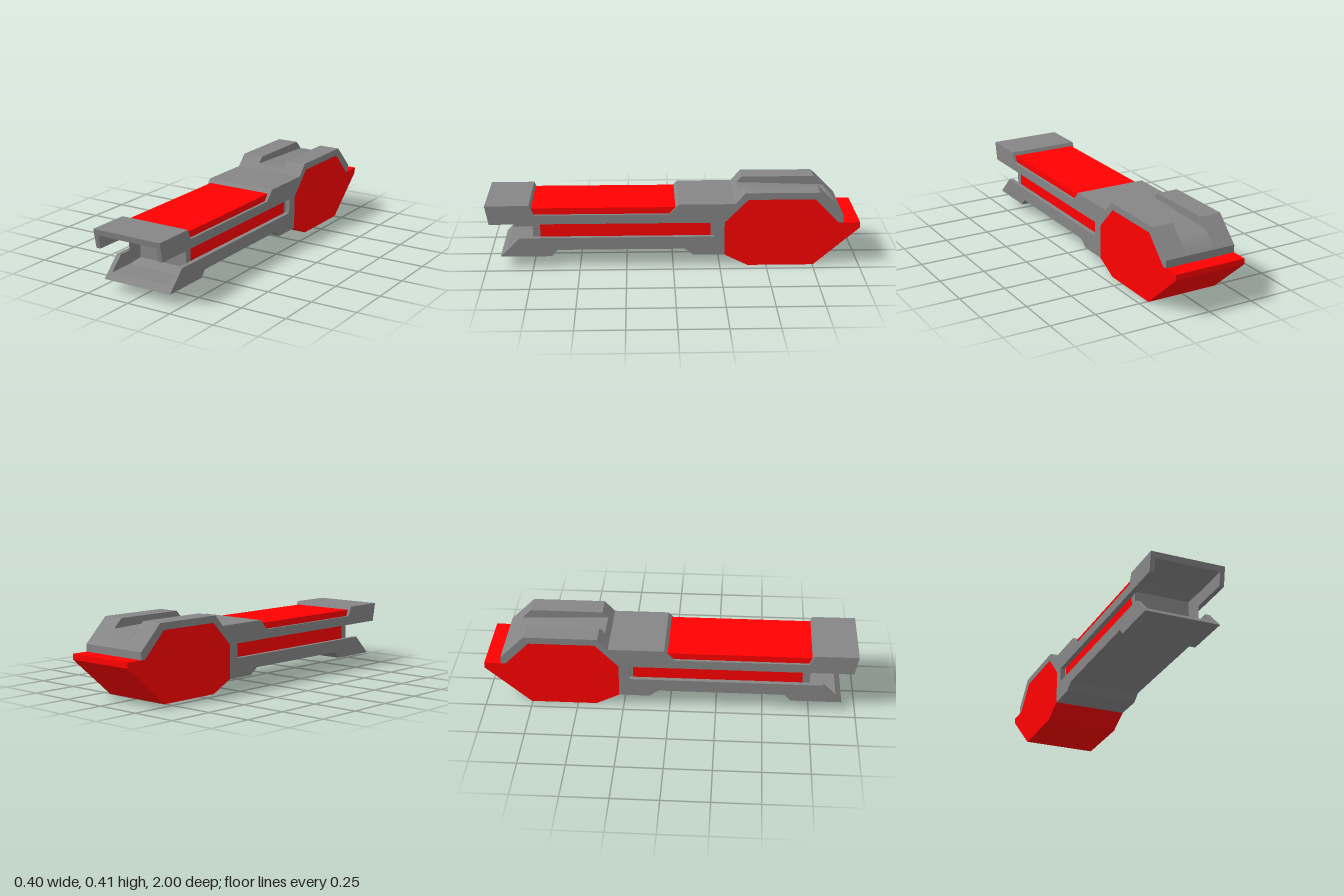
import * as THREE from 'three';

const GREY = new THREE.MeshStandardMaterial({ color: 0x868686 });
const RED = new THREE.MeshStandardMaterial({ color: 0xff0000 });

// Extrudes a side profile of [z, y] points across the width, from x0 to x1.
// Corners listed by index in "soft" are shaded smoothly, all others stay sharp.
function slab(name, profile, x0, x1, material, soft = []) {
  const shape = new THREE.Shape(profile.map(([z, y]) => new THREE.Vector2(z, y)));
  const geo = new THREE.ExtrudeGeometry(shape, { depth: x1 - x0, bevelEnabled: false });
  geo.rotateY(-Math.PI / 2).translate(x1, 0, 0);
  const { position, normal } = geo.attributes;
  for (const i of soft) {
    const [z, y] = profile[i], [za, ya] = profile[i - 1], [zb, yb] = profile[i + 1];
    const blend = new THREE.Vector3(0, zb - za, ya - yb).normalize();
    const old = new THREE.Vector3();
    for (let v = 0; v < position.count; v++) {
      if (Math.hypot(position.getZ(v) - z, position.getY(v) - y) > 1e-4) continue;
      old.fromBufferAttribute(normal, v);
      if (Math.abs(old.x) > 0.5) continue;
      const sign = Math.sign(old.dot(blend));
      normal.setXYZ(v, 0, sign * blend.y, sign * blend.z);
    }
  }
  const mesh = new THREE.Mesh(geo, material);
  mesh.name = name;
  return mesh;
}

export function createModel() {
  const group = new THREE.Group();
  group.name = 'model';

  const HALF = 0.2005, INNER = 0.175, CHEEK = 0.18;

  // Outlines of the side rails (open slot) and the core (open mouth)
  const topEdge = (recess) => [
    [-0.275, 0.245], [-0.275, 0.349], [-0.03, 0.349], ...recess, [0.765, 0.349], [1, 0.349],
  ];
  const bottomEdge = [
    [0.925, 0.062], [0.65, 0.062], [0.62, 0.098],
    [-0.06, 0.098], [-0.11, 0.062], [-0.275, 0.062],
  ];
  const slot = [[0.98, 0.245], [-0.218, 0.245], [-0.218, 0.166], [0.82, 0.166]];
  const mouth = [
    [0.994, 0.317], [0.75, 0.317], [0.69, 0.292],
    [0.69, 0.116], [0.75, 0.093], [0.893, 0.093],
  ];
  const rail = [...topEdge([[0.02, 0.295], [0.74, 0.295]]), ...slot, ...bottomEdge];
  const core = [...topEdge([[-0.008, 0.325], [0.753, 0.325]]), ...mouth, ...bottomEdge];
  const softStep = (outline) => [outline.length - 5, outline.length - 4];
  group.add(slab('frameCore', core, -INNER, INNER, GREY, softStep(core)));

  // Rear housing: red faceted body below a grey hood
  const seam = [[-0.885, 0.24], [-0.755, 0.372], [-0.4, 0.372], [-0.275, 0.245]];
  const loweredSeam = seam.map(([z, y]) => [z, Math.min(y, 0.3)]);
  const belly = [[-0.275, 0.062], [-0.4, 0], [-0.755, 0], [-1, 0.21], [-1, 0.24]];
  const hoodFront = [[-0.275, 0.349], [-0.33, 0.349]];
  const hoodBack = [[-0.91, 0.28], [-0.91, 0.24]];
  const hoodTop = [...hoodFront, [-0.385, 0.409], [-0.78, 0.409], ...hoodBack];
  const groove = [...hoodFront, [-0.355, 0.377], [-0.83, 0.36], ...hoodBack, ...loweredSeam];
  group.add(
    slab('rearBody', [...belly, ...loweredSeam], -CHEEK, CHEEK, RED),
    slab('hoodGroove', groove, -0.08, 0.08, GREY, [3]),
  );

  // Parts mirrored left and right
  for (const [side, s] of [['left', 1], ['right', -1]]) {
    const pair = (name, profile, a, b, material, soft) => group.add(
      slab(side + name, profile, Math.min(s * a, s * b), Math.max(s * a, s * b), material, soft));
    pair('Rail', rail, INNER, HALF, GREY, softStep(rail));
    pair('Hood', [...hoodTop, ...loweredSeam], 0.08, CHEEK, GREY);
    pair('HoodEdge', [...hoodTop, ...seam], CHEEK, HALF, GREY);
    pair('RearCheek', [...belly, ...seam], CHEEK, HALF, RED);
    pair('SlotPanel', [[-0.2, 0.166], [0.71, 0.166], [0.71, 0.245], [-0.2, 0.245]], 0.172, 0.1755, RED);
    pair('TopPanelEdge', [[0.02, 0.295], [0.74, 0.295], [0.753, 0.325], [-0.008, 0.325]], INNER, 0.185, RED);

    // Tapered wall inside the mouth (plan view, extruded upward)
    const plan = new THREE.Shape([
      new THREE.Vector2(s * INNER, -0.75),
      new THREE.Vector2(s * 0.15, -0.69),
      new THREE.Vector2(s * INNER, -0.69),
    ]);
    const wall = new THREE.ExtrudeGeometry(plan, { depth: 0.224, bevelEnabled: false });
    wall.rotateX(-Math.PI / 2).translate(0, 0.093, 0);
    const mesh = new THREE.Mesh(wall, GREY);
    mesh.name = side + 'MouthWall';
    group.add(mesh);
  }

  // Red panel over the top recess
  group.add(slab('topPanel', [[-0.008, 0.325], [0.753, 0.325], [0.755, 0.33], [-0.012, 0.33]], -0.185, 0.185, RED));

  return group;
}
